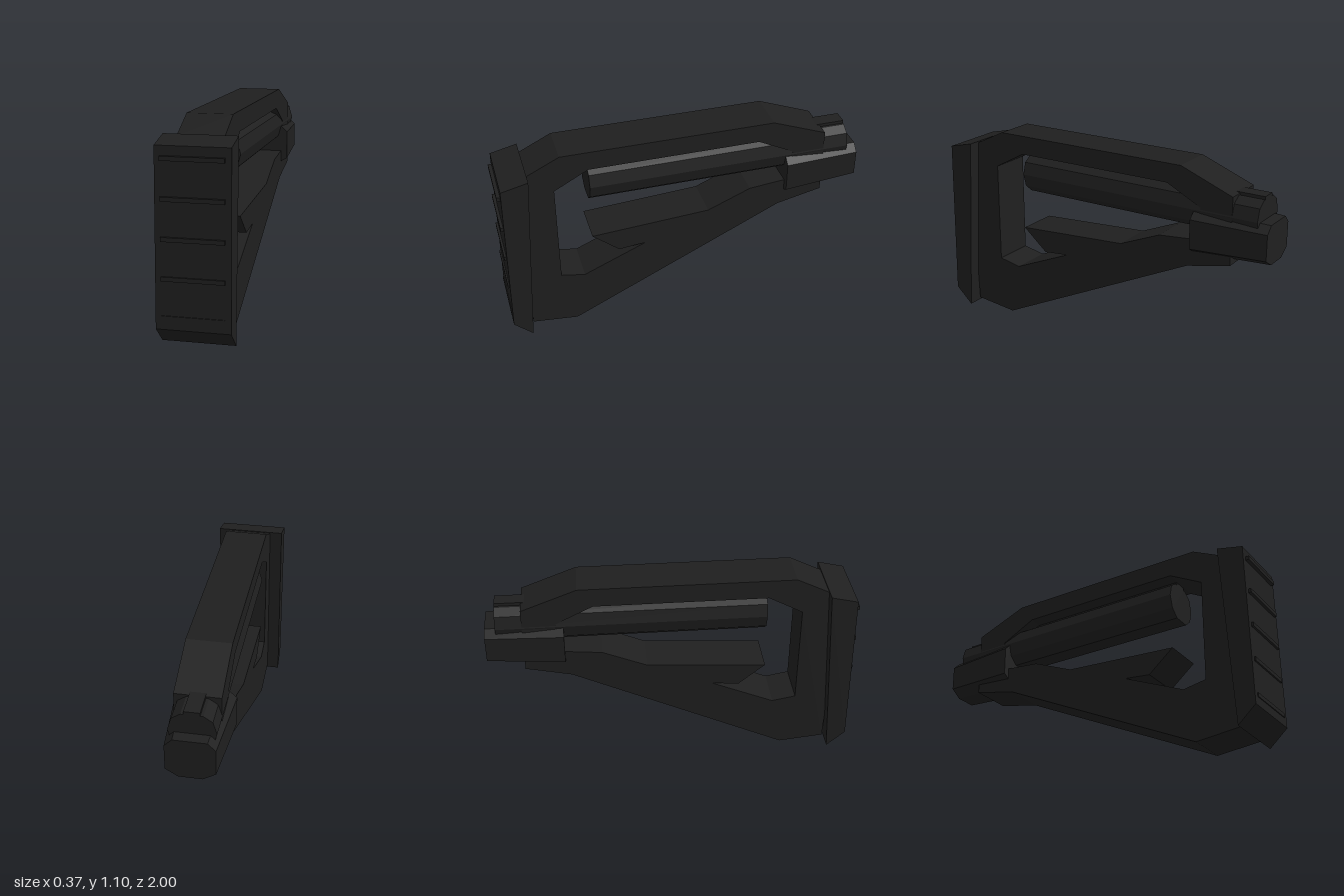
import * as THREE from 'three';

const black = new THREE.MeshStandardMaterial({ color: 0x1f1f1f });
black.name = 'matte black';

const toPoints = (list) => list.map(([a, b]) => new THREE.Vector2(a, b));

function addMesh(group, name, geometry) {
  const mesh = new THREE.Mesh(geometry, black);
  mesh.name = name;
  group.add(mesh);
  return mesh;
}

// Side profile given as [z, y], extruded across x and centred;
// the hole runs the opposite way round to the outline
function sideExtrude(outline, halfWidth, hole) {
  const shape = new THREE.Shape(toPoints(outline));
  if (hole) shape.holes.push(new THREE.Path(toPoints(hole)));
  const geo = new THREE.ExtrudeGeometry(shape, { depth: halfWidth * 2, bevelEnabled: false });
  geo.translate(0, 0, -halfWidth);
  geo.rotateY(-Math.PI / 2);
  return geo;
}

// Right half of a cross-section [x, y] from bottom to top, mirrored and extruded along z
function lengthExtrude(half, zBack, zFront) {
  const mirrored = half.map(([x, y]) => [-x, y]).reverse();
  const shape = new THREE.Shape(toPoints([...half, ...mirrored]));
  const geo = new THREE.ExtrudeGeometry(shape, { depth: zFront - zBack, bevelEnabled: false });
  geo.translate(0, 0, zBack);
  return geo;
}

export function createModel() {
  const stock = new THREE.Group();
  stock.name = 'rifleStock';

  // Skeleton frame with its open centre and the forward-pointing spur
  addMesh(stock, 'frame', sideExtrude(
    [[0.88, 0.03], [0.63, 0.003], [-0.55, 0.565], [-0.8, 0.62], [-0.8, 0.99],
      [-0.5, 1.105], [0.66, 1.105], [0.838, 1.018], [0.885, 0.2]],
    0.118,
    [[0.7, 0.9], [0.515, 1.0], [-0.42, 1.0], [-0.62, 0.9], [-0.59, 0.722], [-0.38, 0.702],
      [-0.14, 0.602], [0.515, 0.562], [0.37, 0.44], [0.22, 0.455], [0.57, 0.305], [0.7, 0.33]],
  ));

  // Butt pad with grip ribs
  addMesh(stock, 'buttPad', sideExtrude(
    [[0.895, 0.008], [0.835, 1.027], [0.98, 0.993], [0.996, 0.1]], 0.187));
  for (let i = 0; i < 5; i++) {
    const rib = addMesh(stock, 'padRib', new THREE.BoxGeometry(0.314, 0.022, 0.08));
    rib.position.set(0, 0.158 + i * 0.194, 0.96);
  }

  // Long tube with a narrow ridge on top
  addMesh(stock, 'stockTube', lengthExtrude(
    [[0.05, 0.77], [0.1, 0.812], [0.12, 0.883], [0.1, 0.95], [0.055, 0.98], [0.04, 0.98], [0.04, 0.997]],
    -0.94, 0.512));

  // Chamfered collar, widening toward the front
  const collar = lengthExtrude(
    [[0.06, 0.65], [0.125, 0.69], [0.125, 0.83], [0.085, 0.87]], -1, -0.58);
  const pos = collar.attributes.position;
  for (let i = 0; i < pos.count; i++) {
    if (pos.getZ(i) > -0.8) {
      pos.setX(i, pos.getX(i) * 1.24);
      pos.setY(i, 0.758 + (pos.getY(i) - 0.76) * 1.15);
    }
  }
  collar.computeVertexNormals();
  addMesh(stock, 'collar', collar);

  return stock;
}
